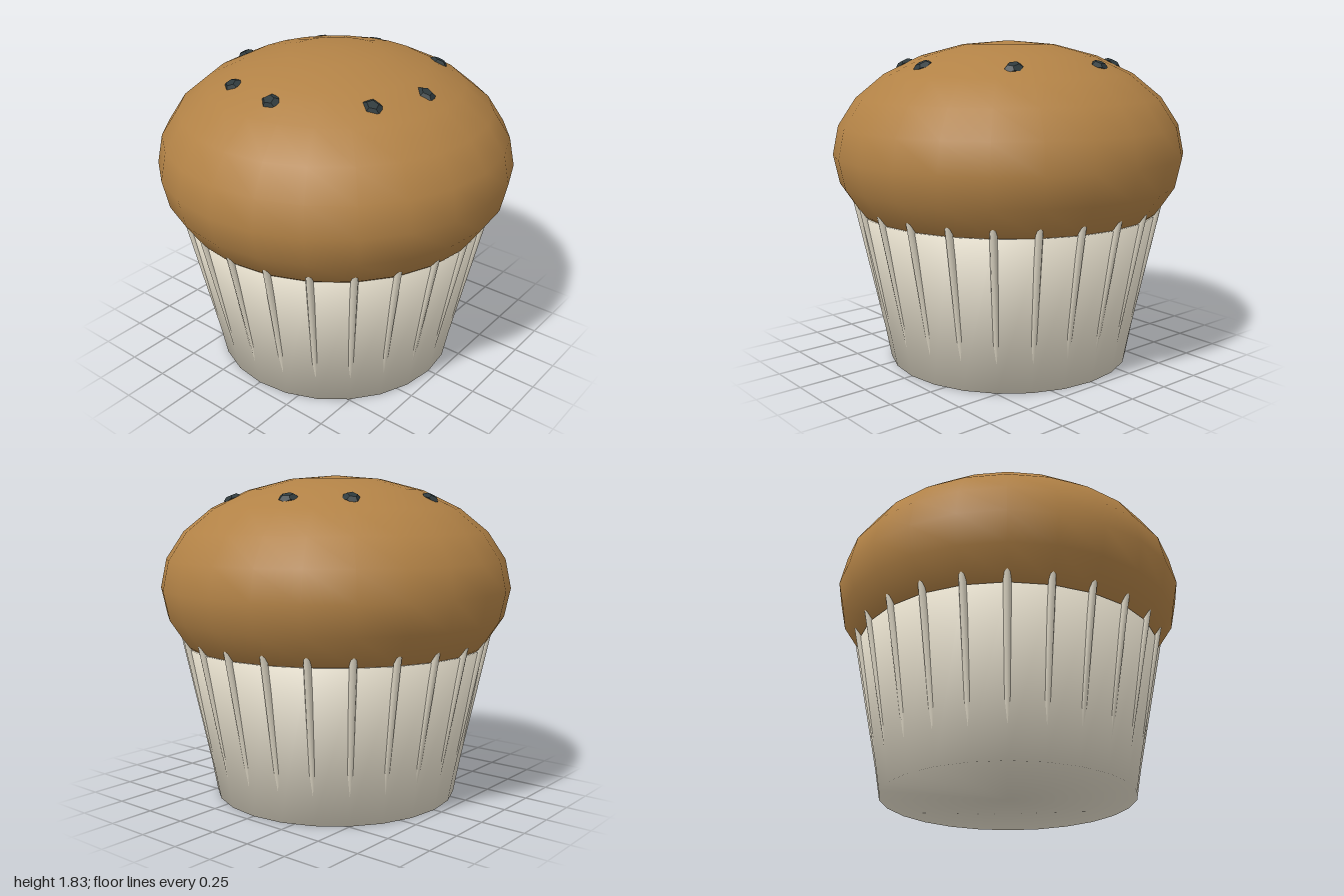
import * as THREE from 'three';
import { mergeVertices } from 'three/addons/utils/BufferGeometryUtils.js';

const SIDES = 24;

function material(name, color) {
  const m = new THREE.MeshStandardMaterial({ color });
  m.name = name;
  return m;
}

// Weld the caps to the wall so shading rolls softly over the rims
function welded(geometry) {
  geometry.deleteAttribute('normal');
  geometry.deleteAttribute('uv');
  const g = mergeVertices(geometry);
  g.computeVertexNormals();
  return g;
}

export function createModel() {
  const cake = material('cake brown', 0xb28246);
  const paper = material('paper cream', 0xdfd8c6);
  const chocolate = material('dark chocolate', 0x2e393c);

  const model = new THREE.Group();
  model.name = 'muffin';

  function add(name, geometry, mat, parent = model) {
    const mesh = new THREE.Mesh(geometry, mat);
    mesh.name = name;
    parent.add(mesh);
    return mesh;
  }

  // Domed top: a flattened sphere sunk into the paper cup
  const dome = new THREE.SphereGeometry(1, SIDES, 12);
  dome.scale(1, 0.63, 1);
  add('cakeTop', dome, cake).position.y = 1.2;

  // Tapered paper cup
  const cup = welded(new THREE.CylinderGeometry(0.86, 0.7, 0.87, SIDES));
  add('paperCup', cup, paper).position.y = 0.435;

  // Pleats: thin rods leaning outward, fading into the cup near the base
  const low = { r: 0.685, y: 0.05 };
  const high = { r: 0.885, y: 0.98 };
  const dr = high.r - low.r, dy = high.y - low.y;
  const rod = new THREE.CylinderGeometry(0.02, 0.02, Math.hypot(dr, dy), 8);
  rod.rotateX(Math.atan2(dr, dy));
  rod.translate(0, (low.y + high.y) / 2, (low.r + high.r) / 2);
  const pleats = new THREE.Group();
  pleats.name = 'pleats';
  model.add(pleats);
  for (let i = 0; i < SIDES; i++) {
    add('pleat', rod, paper, pleats).rotation.y = (i / SIDES) * Math.PI * 2;
  }

  // Chocolate chips: flattened nuggets pressed into the dome
  const nugget = new THREE.DodecahedronGeometry(0.055, 0);
  nugget.rotateX(0.4);
  nugget.scale(1, 0.45, 0.85);
  const spots = [
    [-0.15, -0.57], [0.36, -0.47], [0.59, 0], [0.49, 0.32],
    [0.05, 0.58], [-0.27, 0.52], [-0.58, 0.1], [-0.43, -0.4],
  ];
  const up = new THREE.Vector3(0, 1, 0);
  const chips = new THREE.Group();
  chips.name = 'chocolateChips';
  model.add(chips);
  spots.forEach(([x, z], i) => {
    const rise = 0.63 * Math.sqrt(1 - x * x - z * z);
    const chip = add('chocolateChip', nugget, chocolate, chips);
    chip.position.set(x, 1.19 + rise, z);
    const normal = new THREE.Vector3(x, rise / 0.63 ** 2, z).normalize();
    chip.quaternion.setFromUnitVectors(up, normal);
    chip.rotateY(Math.atan2(x, z) + i * 0.7);
  });

  return model;
}
